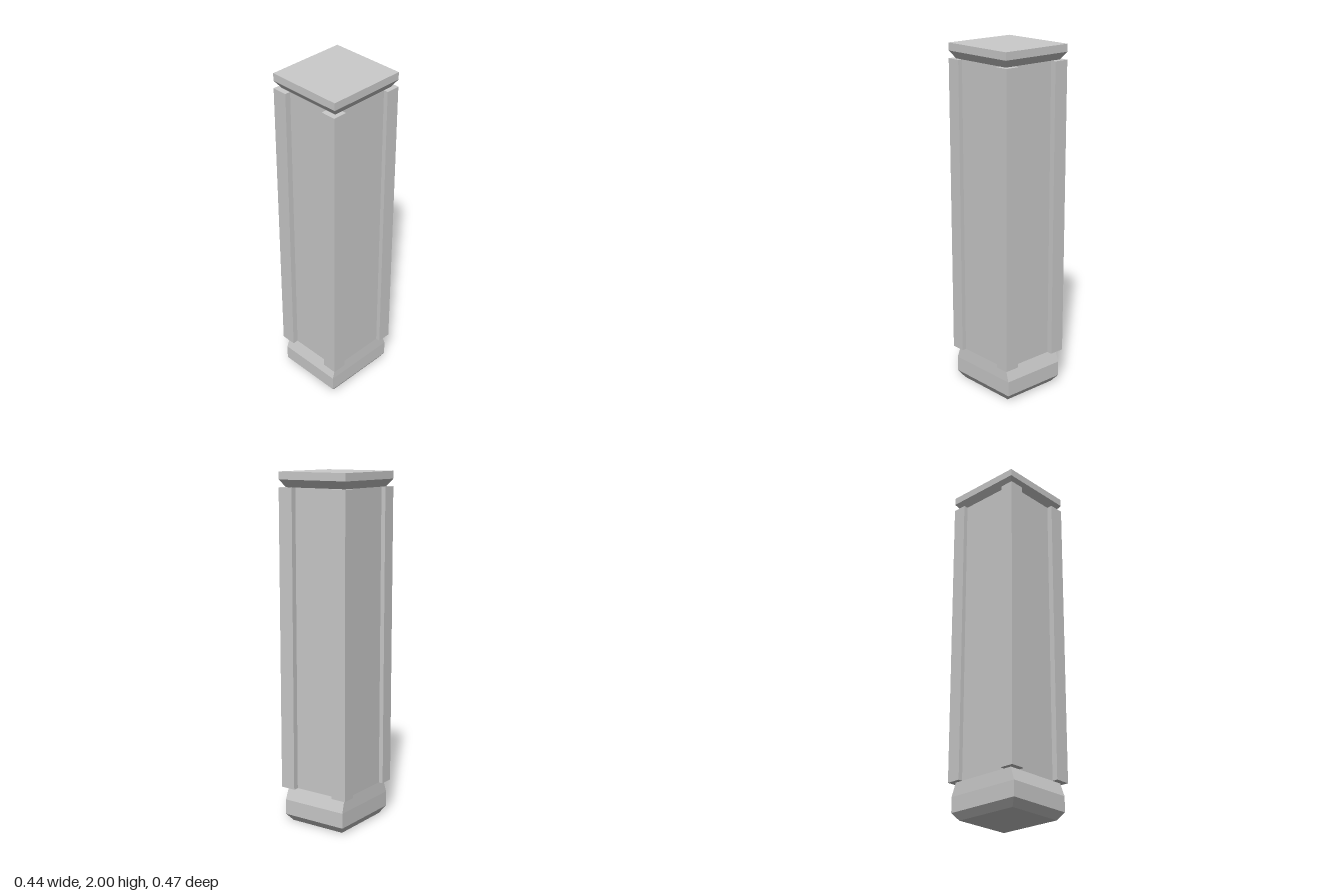
import * as THREE from 'three';

const material = new THREE.MeshStandardMaterial({ color: 0xcccccc, flatShading: true });

// Stacks rectangular sections [y, halfWidth, halfDepth] into a closed faceted block
function rectLoft(name, sections) {
  const positions = [];
  const rings = sections.map(([y, w, d]) => [[-w, y, d], [w, y, d], [w, y, -d], [-w, y, -d]]);
  const quad = (a, b, c, d) => positions.push(...a, ...b, ...c, ...a, ...c, ...d);
  for (let i = 0; i < rings.length - 1; i++) {
    for (let k = 0; k < 4; k++) {
      const n = (k + 1) % 4;
      quad(rings[i][k], rings[i][n], rings[i + 1][n], rings[i + 1][k]);
    }
  }
  const [a, b, c, d] = rings[0];
  quad(d, c, b, a);
  quad(...rings[rings.length - 1]);
  const geometry = new THREE.BufferGeometry();
  geometry.setAttribute('position', new THREE.Float32BufferAttribute(positions, 3));
  geometry.computeVertexNormals();
  const mesh = new THREE.Mesh(geometry, material);
  mesh.name = name;
  return mesh;
}

// L-shaped strip wrapped around one vertical corner of the shaft
function cornerStrip(sx, sz) {
  const outline = [[0.221, 0.233], [0.132, 0.233], [0.132, 0.2], [0.195, 0.2], [0.195, 0.152], [0.221, 0.152]];
  const shape = new THREE.Shape(outline.map(([x, z]) => new THREE.Vector2(x * sx, -z * sz)));
  const geometry = new THREE.ExtrudeGeometry(shape, { depth: 1.71, bevelEnabled: false });
  geometry.rotateX(-Math.PI / 2);
  const mesh = new THREE.Mesh(geometry, material);
  mesh.name = `cornerStrip${sz > 0 ? 'Front' : 'Back'}${sx > 0 ? 'Left' : 'Right'}`;
  mesh.position.y = 0.205;
  return mesh;
}

export function createModel() {
  const group = new THREE.Group();
  group.name = 'squarePillar';

  // Flared foot, plain shaft and chamfered top slab
  group.add(rectLoft('base', [[0, 0.172, 0.19], [0.042, 0.199, 0.225], [0.13, 0.199, 0.225], [0.205, 0.195, 0.2]]));
  group.add(rectLoft('shaft', [[0.205, 0.195, 0.2], [1.915, 0.195, 0.2]]));
  group.add(rectLoft('cap', [[1.915, 0.195, 0.2], [1.957, 0.222, 0.231], [2, 0.222, 0.231]]));

  // Raised strips on the four corners
  for (const sx of [-1, 1]) for (const sz of [-1, 1]) group.add(cornerStrip(sx, sz));

  return group;
}
